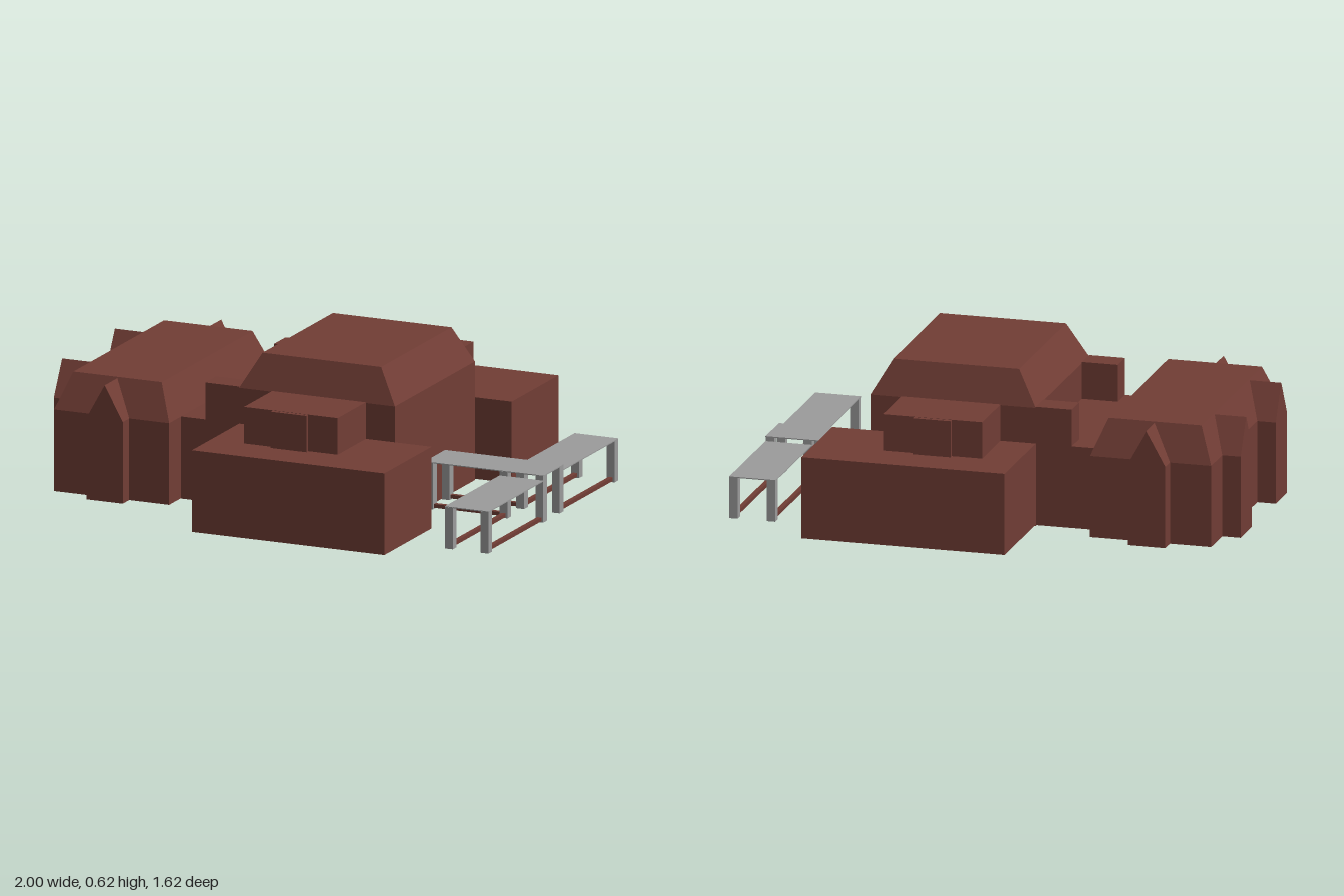
import * as THREE from 'three';

export function createModel() {
  const model = new THREE.Group();
  model.name = 'building';
  const brick = new THREE.MeshStandardMaterial({ color: 0x713d35 });
  brick.name = 'brick brown';
  const grey = new THREE.MeshStandardMaterial({ color: 0x9b9b9b });
  grey.name = 'canopy grey';

  function add(name, geometry, material) {
    const mesh = new THREE.Mesh(geometry, material);
    mesh.name = name;
    model.add(mesh);
    return mesh;
  }

  // Box given by its extents
  function block(name, x0, x1, y0, y1, z0, z1, material = brick) {
    const g = new THREE.BoxGeometry(x1 - x0, y1 - y0, z1 - z0);
    g.translate((x0 + x1) / 2, (y0 + y1) / 2, (z0 + z1) / 2);
    return add(name, g, material);
  }

  // Flat-topped hip roof: a box whose top corners are drawn inwards
  function hipRoof(name, [x0, x1, z0, z1], [tx0, tx1, tz0, tz1], y0, y1) {
    const g = new THREE.BoxGeometry(1, 1, 1).toNonIndexed();
    const p = g.attributes.position;
    for (let i = 0; i < p.count; i++) {
      const top = p.getY(i) > 0, right = p.getX(i) > 0, front = p.getZ(i) > 0;
      const x = right ? (top ? tx1 : x1) : (top ? tx0 : x0);
      const z = front ? (top ? tz1 : z1) : (top ? tz0 : z0);
      p.setXYZ(i, x, top ? y1 : y0, z);
    }
    g.computeVertexNormals();
    add(name, g, brick);
  }

  // Gabled bay running outwards from the wall, turned about y
  function gableBay(name, x, z, angle, length) {
    const w = 0.078;
    const s = new THREE.Shape([
      new THREE.Vector2(-w, 0.005), new THREE.Vector2(w, 0.005),
      new THREE.Vector2(w, 0.335), new THREE.Vector2(0, 0.475),
      new THREE.Vector2(-w, 0.335),
    ]);
    const g = new THREE.ExtrudeGeometry(s, { depth: length, bevelEnabled: false });
    const bay = add(name, g, brick);
    bay.position.set(x, 0, z);
    bay.rotation.y = angle;
  }

  // Main hall
  block('mainHall', -0.18, 0.49, 0, 0.48, -0.375, 0.37);
  hipRoof('mainRoof', [-0.18, 0.49, -0.375, 0.37], [-0.1, 0.41, -0.33, 0.325], 0.48, 0.62);

  // Link between the two halls
  block('link', -0.43, -0.18, 0.003, 0.335, -0.373, 0.368);

  // Rear hall with its hip roof
  block('rearHall', -0.925, -0.43, 0.005, 0.335, -0.48, 0.48);
  hipRoof('rearRoof', [-0.925, -0.43, -0.48, 0.48], [-0.87, -0.49, -0.425, 0.42], 0.335, 0.48);

  // Gabled bays around the rear hall
  gableBay('frontBay', -0.68, 0.41, 0, 0.13);
  gableBay('backBay', -0.68, -0.415, Math.PI, 0.13);
  for (const z of [0.243, -0.248]) gableBay('endBay', -0.865, z, -Math.PI / 2, 0.135);

  // Side wings, upper storeys and link turrets, mirrored front to back
  for (const s of [1, -1]) {
    const wall = s > 0 ? 0.37 : 0.375;
    const zBlock = (name, x0, x1, y0, y1, a, b) =>
      block(name, x0, x1, y0, y1, Math.min(s * a, s * b), Math.max(s * a, s * b));
    zBlock('wing', -0.18, 0.648, 0.005, 0.335, wall, 0.81);
    zBlock('upperStorey', -0.038, 0.365, 0.335, 0.483, wall, 0.632);
    zBlock('upperBay', 0.085, 0.238, 0.335, 0.482, 0.6, 0.65);
    zBlock('turret', -0.325, -0.18, 0.335, 0.485, 0.27, wall);
  }

  // Covered walkway: thin roofs
  block('walkwayRoof', 0.49, 1, 0.186, 0.19, -0.097, 0.092, grey);
  for (const [z0, z1] of [[0.092, 0.602], [-0.605, -0.097]]) {
    block('canopyRoof', 0.812, 1, 0.166, 0.17, z0, z1, grey);
  }

  // Posts and low rails
  for (const s of [1, -1]) {
    const post = (x, z, h) =>
      block('post', x - 0.017, x + 0.017, 0, h, s * z - 0.017, s * z + 0.017, grey);
    for (const x of [0.83, 0.983]) {
      post(x, 0.587, 0.168);
      post(x, 0.077, 0.188);
      const a = s * 0.09, b = s * 0.575;
      block('longRail', x - 0.009, x + 0.009, 0.005, 0.02, Math.min(a, b), Math.max(a, b));
    }
    post(0.51, 0.077, 0.188);
    block('walkwayRail', 0.5, 0.82, 0.005, 0.02, s * 0.077 - 0.009, s * 0.077 + 0.009);
  }

  return model;
}
